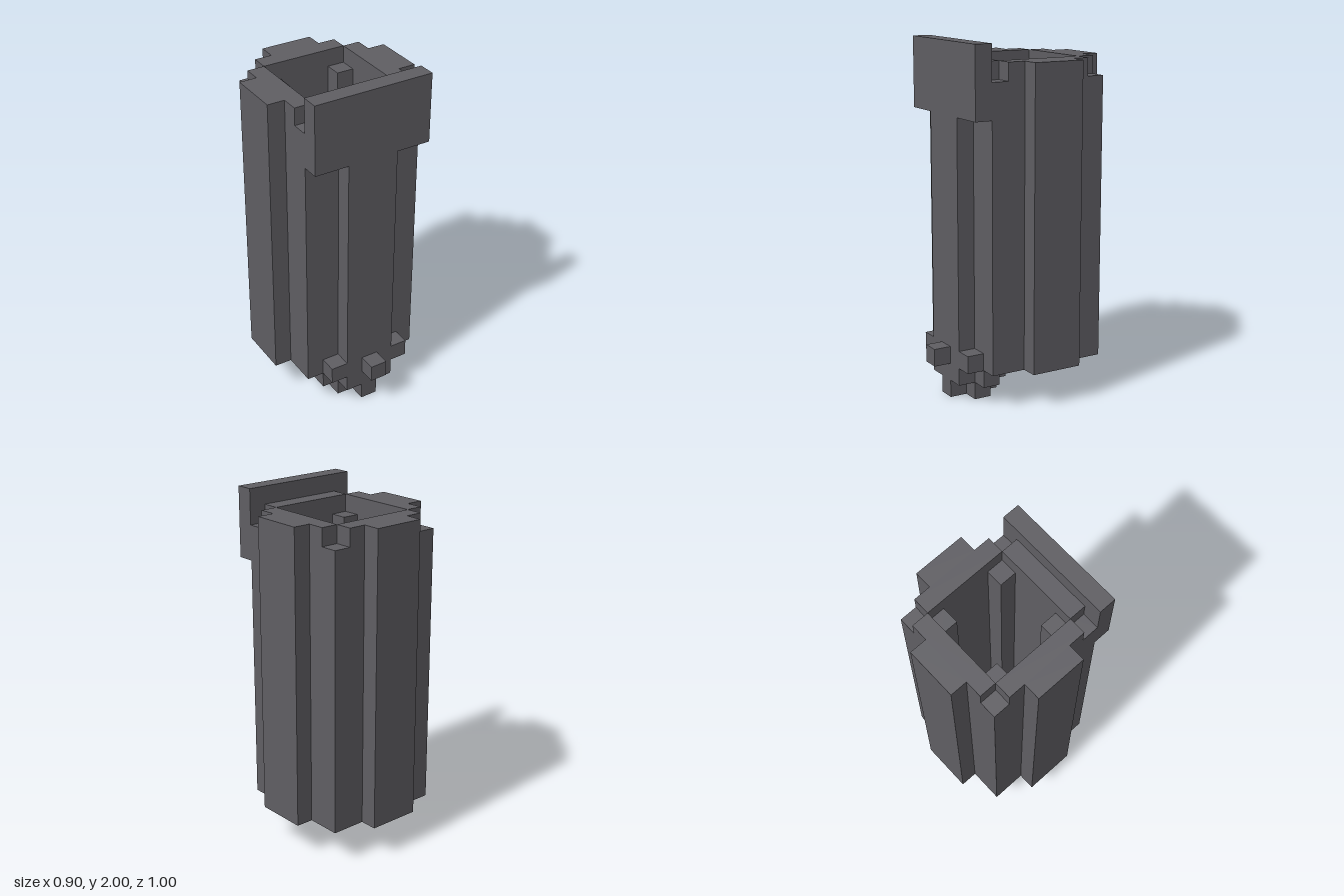
import * as THREE from 'three';

export function createModel() {
  const model = new THREE.Group();
  const darkGrey = new THREE.MeshStandardMaterial({ color: 0x5f5e63 });
  darkGrey.name = 'darkGrey';

  const add = (name, geometry) => {
    const mesh = new THREE.Mesh(geometry, darkGrey);
    mesh.name = name;
    model.add(mesh);
    return mesh;
  };
  // Box given by its limits on each axis
  const block = (name, x0, x1, y0, y1, z0, z1) => {
    const mesh = add(name, new THREE.BoxGeometry(x1 - x0, y1 - y0, z1 - z0));
    mesh.position.set((x0 + x1) / 2, (y0 + y1) / 2, (z0 + z1) / 2);
  };
  const centred = (name, half, y0, y1, z0, z1) => block(name, -half, half, y0, y1, z0, z1);
  const pair = (name, x0, x1, y0, y1, z0, z1) => {
    block(name + 'Left', x0, x1, y0, y1, z0, z1);
    block(name + 'Right', -x1, -x0, y0, y1, z0, z1);
  };
  // Closed anticlockwise outline from its +x half, listed front to back as [x, z]
  const mirrored = (half) => [...half.map(([x, z]) => [-x, z]), ...half.reverse()]
    .map(([x, z]) => new THREE.Vector2(x, z));

  // Hollow stepped body, with a post in each inner corner
  const outline = new THREE.Shape(mirrored([
    [0.35, 0.3], [0.35, 0.1], [0.45, 0.1], [0.45, -0.2],
    [0.35, -0.2], [0.35, -0.4], [0.15, -0.4], [0.15, -0.5],
  ]));
  outline.holes.push(new THREE.Path(mirrored([
    [0.15, 0.2], [0.15, 0.1], [0.25, 0.1], [0.25, -0.2], [0.15, -0.2], [0.15, -0.3],
  ])));
  const body = new THREE.ExtrudeGeometry(outline, { depth: 1.6, bevelEnabled: false });
  body.rotateX(Math.PI / 2).translate(0, 1.8, 0);
  add('body', body);

  // Top rim, open at the four corners
  centred('frontRim', 0.25, 1.8, 1.9, 0.2, 0.3);
  centred('backRim', 0.25, 1.8, 1.9, -0.4, -0.3);
  centred('backRidgeRim', 0.15, 1.8, 1.9, -0.5, -0.4);
  pair('sideRim', 0.25, 0.35, 1.8, 1.9, -0.3, 0.2);
  pair('sideRidgeRim', 0.35, 0.45, 1.8, 1.9, -0.2, 0.1);

  // Front plate, strip and nose
  centred('frontPlate', 0.35, 1.6, 2, 0.3, 0.4);
  centred('frontStrip', 0.15, 0.3, 1.6, 0.3, 0.4);
  centred('frontStripFoot', 0.25, 0.2, 0.3, 0.3, 0.4);
  centred('nose', 0.05, 0.2, 0.3, 0.4, 0.5);

  // Stepped tip under the front: two cross-shaped layers
  [[0.1, 0.15], [0, 0.05]].forEach(([y, half]) => {
    centred('tipFront', half, y, y + 0.1, 0.3, 0.4);
    centred('tipMiddle', half + 0.1, y, y + 0.1, 0.2, 0.3);
    centred('tipBack', half, y, y + 0.1, 0.1, 0.2);
  });

  return model;
}
